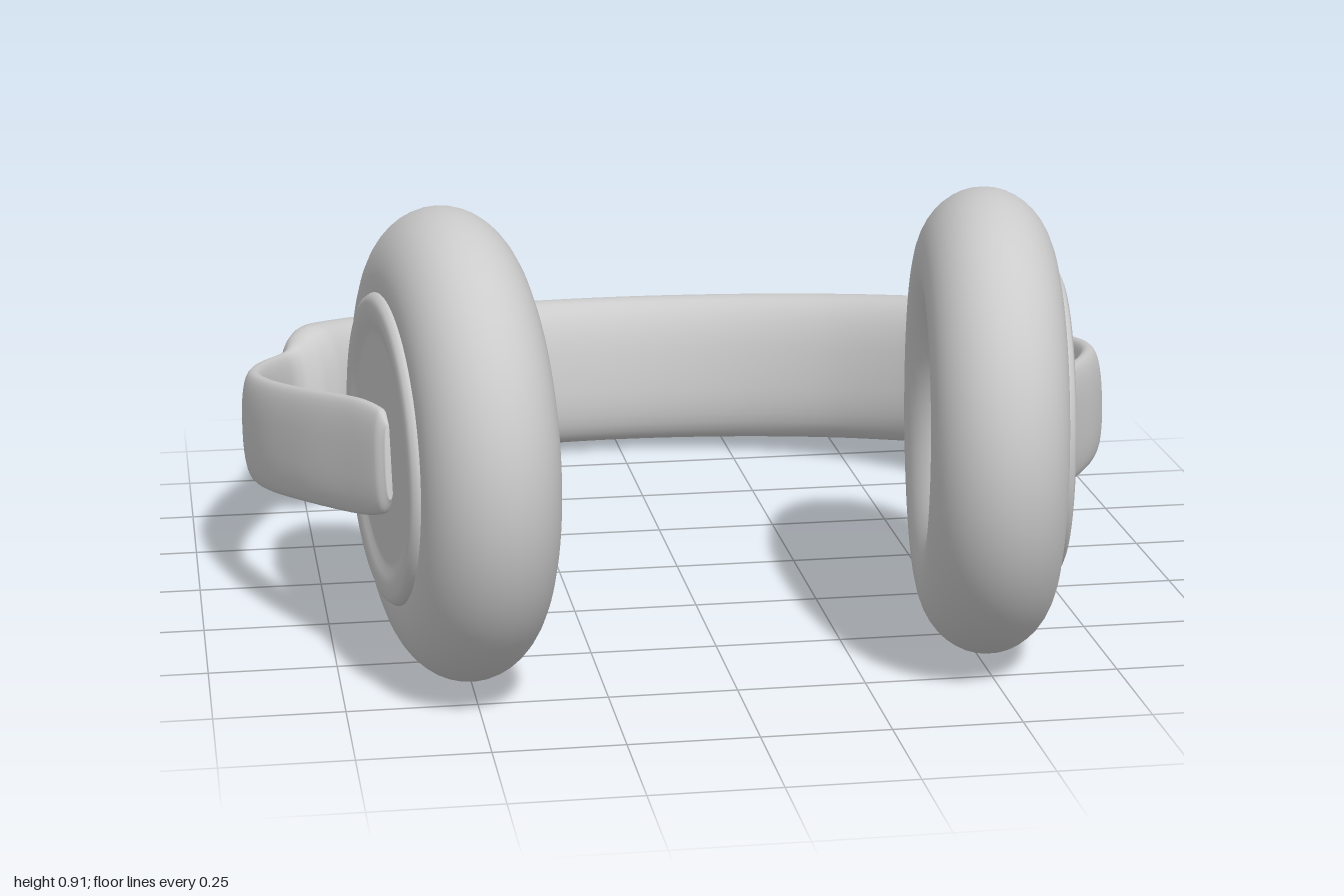
import * as THREE from 'three';

const material = new THREE.MeshStandardMaterial({ color: 0xcccccc, roughness: 0.7 });

// Half of the headband: x, z, half thickness, half height, from earcup to crown
const HALF = [
  [0.65, 0.645, 0.008, 0.07],
  [0.66, 0.62, 0.019, 0.1],
  [0.7, 0.52, 0.024, 0.113],
  [0.785, 0.32, 0.027, 0.113],
  [0.85, 0.12, 0.028, 0.113],
  [0.872, -0.06, 0.028, 0.113],
  [0.85, -0.24, 0.027, 0.113],
  [0.8, -0.41, 0.025, 0.113],
  [0.777, -0.455, 0.032, 0.12],
  [0.752, -0.49, 0.06, 0.15],
  [0.725, -0.53, 0.073, 0.165],
  [0.65, -0.625, 0.078, 0.167],
  [0.48, -0.77, 0.08, 0.167],
  [0.25, -0.877, 0.08, 0.167],
  [0, -0.916, 0.08, 0.167],
];

// Sweeps a rounded section along the tilted band; the padding is where it swells
function bandGeometry(steps = 220, sides = 32) {
  const slope = 0.175;
  const rows = [...HALF, ...HALF.slice(0, -1).reverse().map(([x, ...r]) => [-x, ...r])];
  const path = new THREE.CatmullRomCurve3(
    rows.map(([x, z]) => new THREE.Vector3(x, 0.445 + slope * (z - 0.58), z)));
  const size = new THREE.CatmullRomCurve3(
    rows.map(([, , a, b], i) => new THREE.Vector3(a, b, i)), false, 'catmullrom', 0.4);
  const up = new THREE.Vector3(0, 1, -slope).normalize();
  const round = (v) => Math.sign(v) * Math.abs(v) ** 0.8;

  const pos = [], index = [];
  for (let k = -1; k <= steps + 1; k++) {
    const t = THREE.MathUtils.clamp(k / steps, 0, 1);
    const closed = k < 0 || k > steps ? 0 : 1; // end rings collapse into caps
    const p = path.getPoint(t), s = size.getPoint(t);
    const n = new THREE.Vector3().crossVectors(up, path.getTangent(t)).normalize();
    for (let j = 0; j < sides; j++) {
      const f = (j / sides) * Math.PI * 2;
      const v = p.clone()
        .addScaledVector(n, closed * s.x * round(Math.cos(f)))
        .addScaledVector(up, closed * s.y * round(Math.sin(f)));
      pos.push(v.x, v.y, v.z);
    }
  }
  for (let i = 0; i < steps + 2; i++) {
    for (let j = 0; j < sides; j++) {
      const a = i * sides + j, b = i * sides + ((j + 1) % sides);
      index.push(a, b, a + sides, b, b + sides, a + sides);
    }
  }
  const g = new THREE.BufferGeometry();
  g.setAttribute('position', new THREE.Float32BufferAttribute(pos, 3));
  g.setIndex(index);
  g.computeVertexNormals();
  return g;
}

function part(name, geometry) {
  const mesh = new THREE.Mesh(geometry, material);
  mesh.name = name;
  return mesh;
}

// Earcup around local y, which points away from the head
function createEarcup(name, side) {
  const cup = new THREE.Group();
  cup.name = name;

  const cushion = new THREE.TorusGeometry(0.311, 0.146, 40, 96);
  cushion.rotateX(Math.PI / 2);
  cushion.scale(1, 0.89, 1);
  cup.add(part('earCushion', cushion));

  // Outer plate with a raised rim; its inner face closes the cushion's hole
  const profile = [
    [0, 0.06], [0.19, 0.06], [0.2, 0.06], [0.27, 0.09], [0.3, 0.115], [0.3, 0.132],
    [0.294, 0.142], [0.282, 0.147], [0.26, 0.147], [0.242, 0.143], [0.23, 0.138],
    [0.218, 0.137], [0.2, 0.137], [0, 0.137],
  ].map(([r, y]) => new THREE.Vector2(r, y));
  cup.add(part('outerPlate', new THREE.LatheGeometry(profile, 96)));

  cup.position.set(side * 0.522, 0.458, 0.545);
  cup.rotation.set(0, -side * 0.135, -side * Math.PI / 2);
  return cup;
}

export function createModel() {
  const model = new THREE.Group();
  model.name = 'headphones';
  model.add(part('paddedHeadband', bandGeometry()));
  model.add(createEarcup('leftEarcup', 1), createEarcup('rightEarcup', -1));
  return model;
}
